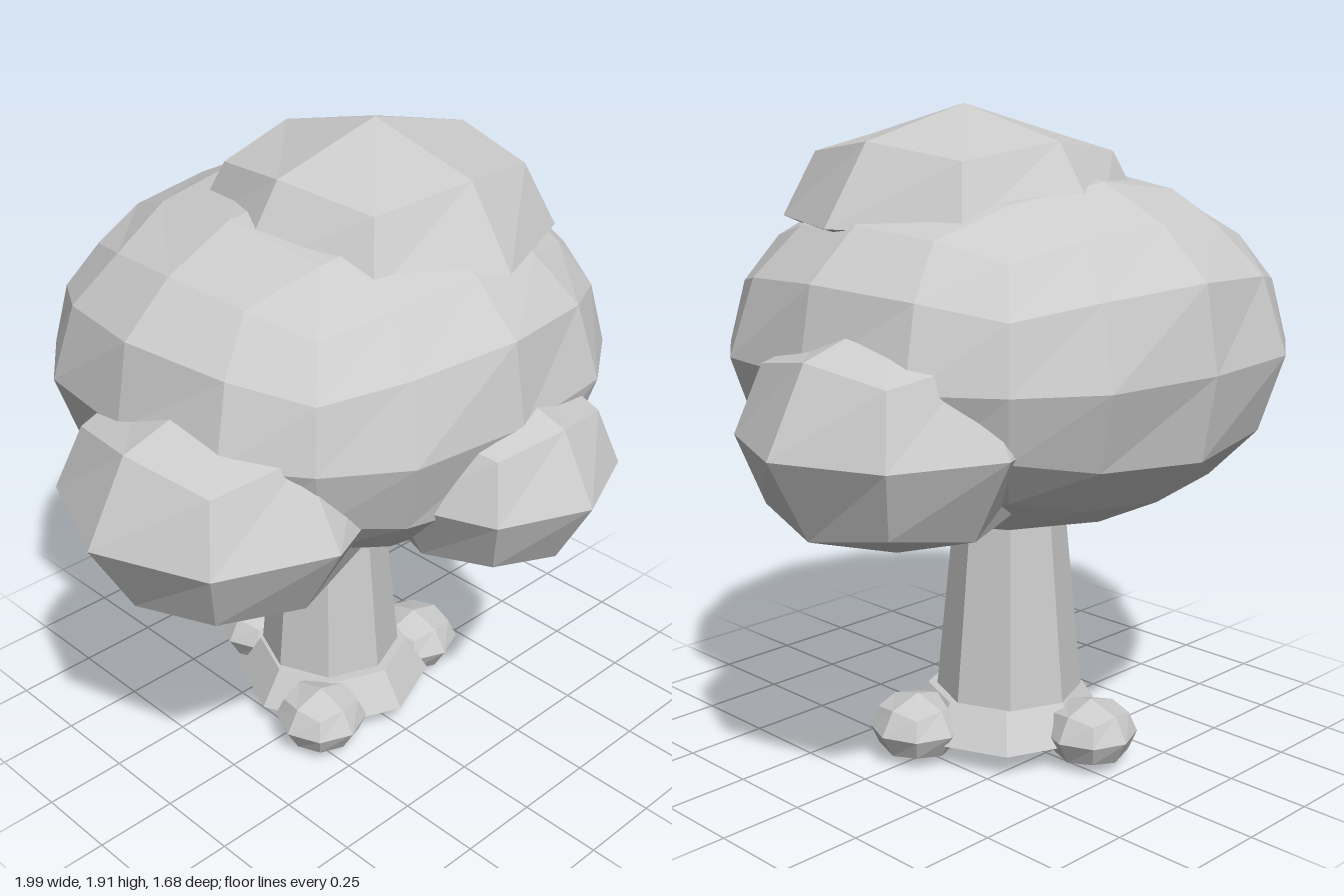
import * as THREE from 'three';

const material = new THREE.MeshStandardMaterial({ color: 0xcccccc, flatShading: true });

// Rounded lump: a divided box pushed out to an ellipsoid.
// bulge swells everything but the six poles; under flattens the lower half.
function lump(name, center, radii, { cuts = 2, bulge = 1, under = 1 } = {}) {
  const geometry = new THREE.BoxGeometry(2, 2, 2, cuts, cuts, cuts);
  const position = geometry.attributes.position;
  const v = new THREE.Vector3();
  for (let i = 0; i < position.count; i++) {
    v.fromBufferAttribute(position, i).normalize();
    const isPole = Math.max(Math.abs(v.x), Math.abs(v.y), Math.abs(v.z)) > 0.999;
    if (!isPole) v.multiplyScalar(bulge);
    if (v.y < 0) v.y *= under;
    position.setXYZ(i, v.x * radii[0], v.y * radii[1], v.z * radii[2]);
  }
  geometry.computeVertexNormals();
  const mesh = new THREE.Mesh(geometry, material);
  mesh.name = name;
  mesh.position.set(...center);
  return mesh;
}

// Eight-sided tapered section standing between two heights.
function taper(name, topRadius, bottomRadius, bottomY, topY, z) {
  const geometry = new THREE.CylinderGeometry(topRadius, bottomRadius, topY - bottomY, 8);
  const mesh = new THREE.Mesh(geometry, material);
  mesh.name = name;
  mesh.position.set(0, (bottomY + topY) / 2, z);
  return mesh;
}

export function createModel() {
  const tree = new THREE.Group();
  tree.name = 'tree';

  // Trunk and its flared foot
  tree.add(taper('trunk', 0.148, 0.22, 0.16, 0.9, -0.095));
  tree.add(taper('trunkFoot', 0.235, 0.305, 0.07, 0.18, -0.08));

  // Foliage: one large crown, a flat-bottomed cap and three side clumps
  const foliage = new THREE.Group();
  foliage.name = 'foliage';
  foliage.add(
    lump('crown', [0.01, 1.24, -0.1], [0.77, 0.5, 0.745], { cuts: 4, bulge: 1.055 }),
    lump('topCap', [0.11, 1.6, -0.02], [0.51, 0.31, 0.51], { under: 0.22 }),
    lump('frontClump', [0.08, 1.04, 0.46], [0.36, 0.28, 0.375]),
    lump('rightClump', [-0.55, 1.04, 0.07], [0.45, 0.325, 0.46]),
    lump('leftClump', [0.57, 1.08, -0.23], [0.42, 0.325, 0.42]),
  );
  tree.add(foliage);

  // Stones around the foot
  const stones = new THREE.Group();
  stones.name = 'stones';
  for (const [x, z, r] of [[-0.225, 0.1, 0.14], [0.28, 0.01, 0.143], [-0.045, -0.385, 0.138]]) {
    stones.add(lump('stone', [x, 0.1, z], [r, 0.1, r]));
  }
  tree.add(stones);

  return tree;
}
